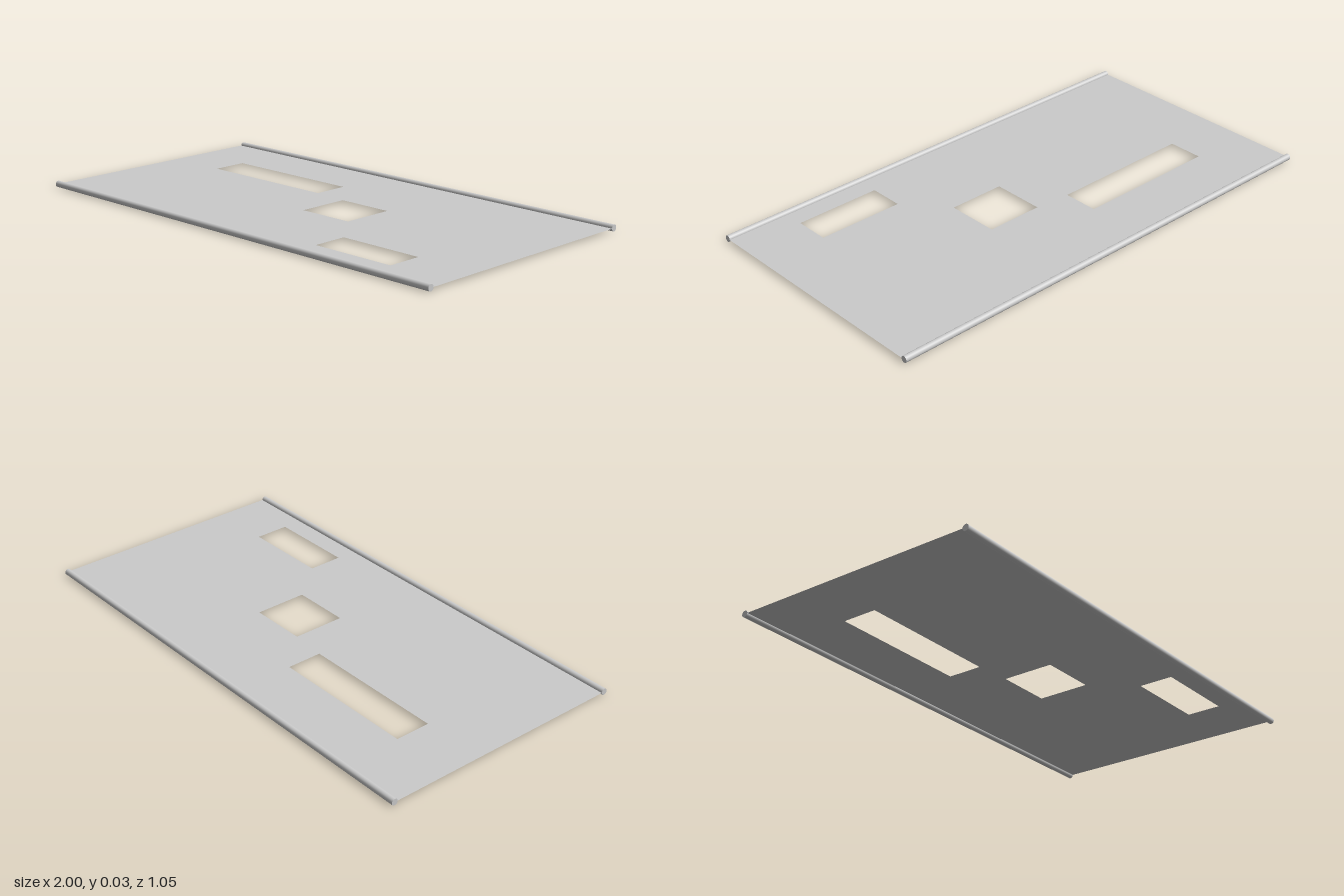
import * as THREE from 'three';

const RADIUS = 0.013;
const ROD_Z = 0.511;

// Rectangle corners in the sheet's own plane (x, z)
function rect(path, x0, z0, x1, z1) {
  path.moveTo(x0, z0);
  path.lineTo(x1, z0);
  path.lineTo(x1, z1);
  path.lineTo(x0, z1);
  path.closePath();
  return path;
}

export function createModel() {
  const model = new THREE.Group();
  const grey = new THREE.MeshStandardMaterial({ color: 0xcccccc });
  const thin = new THREE.MeshStandardMaterial({ color: 0xcccccc, side: THREE.DoubleSide });

  // Thin sheet with three rectangular windows: x0, z0, x1, z1
  const windows = [
    [-0.74, -0.265, -0.14, -0.12],
    [0.008, -0.108, 0.243, 0.108],
    [0.382, 0.275, 0.738, 0.417],
  ];
  const outline = rect(new THREE.Shape(), -1, -ROD_Z, 1, ROD_Z);
  for (const [x0, z0, x1, z1] of windows) {
    outline.holes.push(rect(new THREE.Path(), x0, -z0, x1, -z1));
  }
  // Lay the sheet flat, facing up (shape y becomes -z)
  const sheet = new THREE.Mesh(new THREE.ShapeGeometry(outline).rotateX(-Math.PI / 2), thin);
  sheet.name = 'sheet';
  sheet.position.y = RADIUS;
  model.add(sheet);

  // Round rods along the two long edges
  const rodGeometry = new THREE.CylinderGeometry(RADIUS, RADIUS, 2, 24).rotateZ(Math.PI / 2);
  for (const [name, side] of [['frontRod', 1], ['backRod', -1]]) {
    const rod = new THREE.Mesh(rodGeometry, grey);
    rod.name = name;
    rod.position.set(0, RADIUS, side * ROD_Z);
    model.add(rod);
  }

  return model;
}
